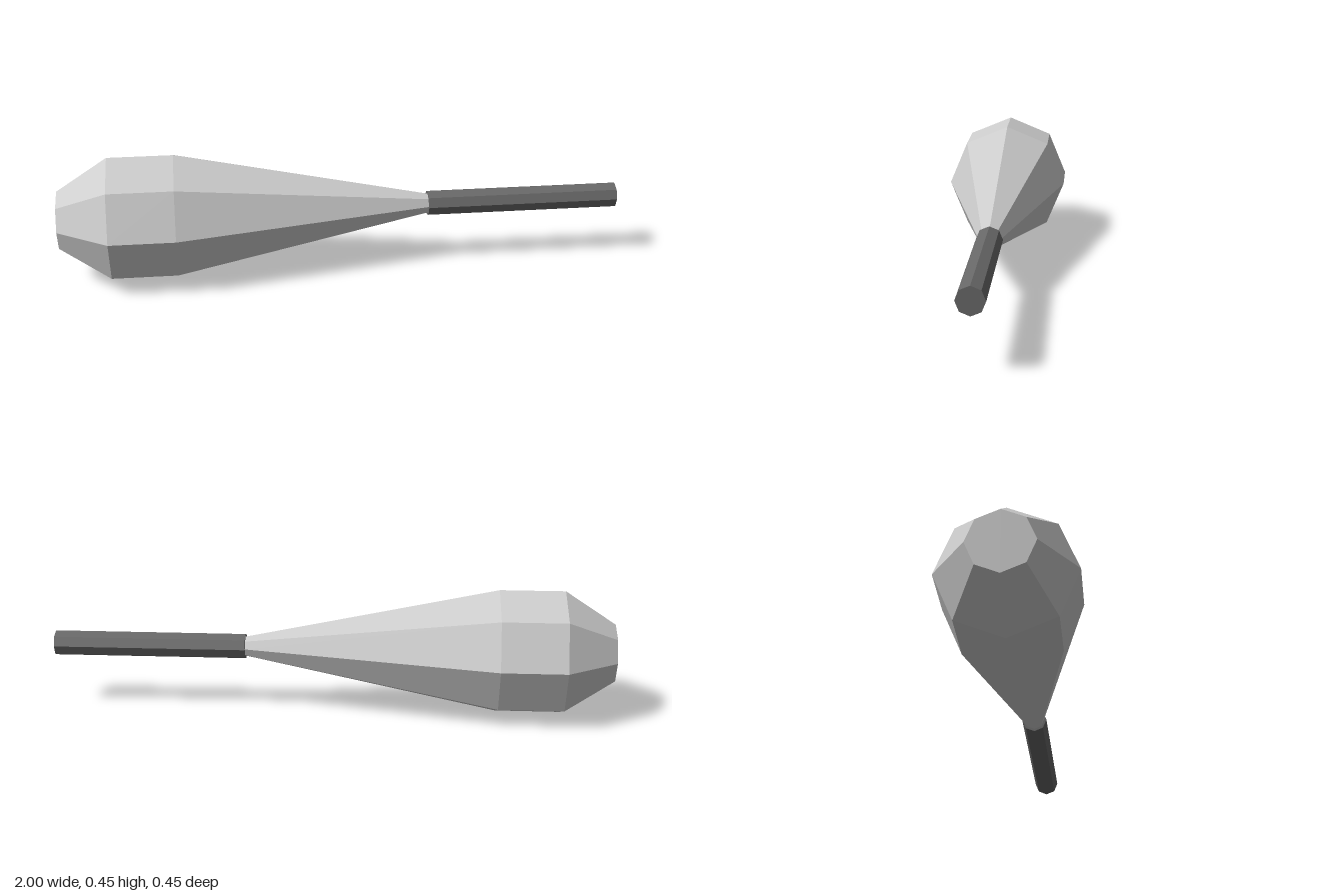
import * as THREE from 'three';

const SIDES = 8;
const AXIS_HEIGHT = 0.227;

// Closed eight-sided solid turned around the x axis from [x, radius] pairs, left to right
function turned(name, profile, material) {
  const first = profile[0][0];
  const last = profile[profile.length - 1][0];
  const points = [[first, 0], ...profile, [last, 0]].map(([x, r]) => new THREE.Vector2(r, x));
  const geometry = new THREE.LatheGeometry(points, SIDES);
  geometry.rotateZ(-Math.PI / 2);
  const mesh = new THREE.Mesh(geometry, material);
  mesh.name = name;
  mesh.position.y = AXIS_HEIGHT;
  return mesh;
}

export function createModel() {
  const paleGrey = new THREE.MeshStandardMaterial({ color: 0xcccccc, flatShading: true });
  paleGrey.name = 'paleGrey';
  const darkGrey = new THREE.MeshStandardMaterial({ color: 0x686868, flatShading: true });
  darkGrey.name = 'darkGrey';

  const model = new THREE.Group();
  model.name = 'club';

  // Bulging head with a blunt end, tapering to the neck
  model.add(turned('head', [[-1, 0.108], [-0.82, 0.227], [-0.59, 0.227], [0.312, 0.036]], paleGrey));

  // Straight grip, slightly wider than the neck
  model.add(turned('handle', [[0.31, 0.046], [1, 0.046]], darkGrey));

  return model;
}
